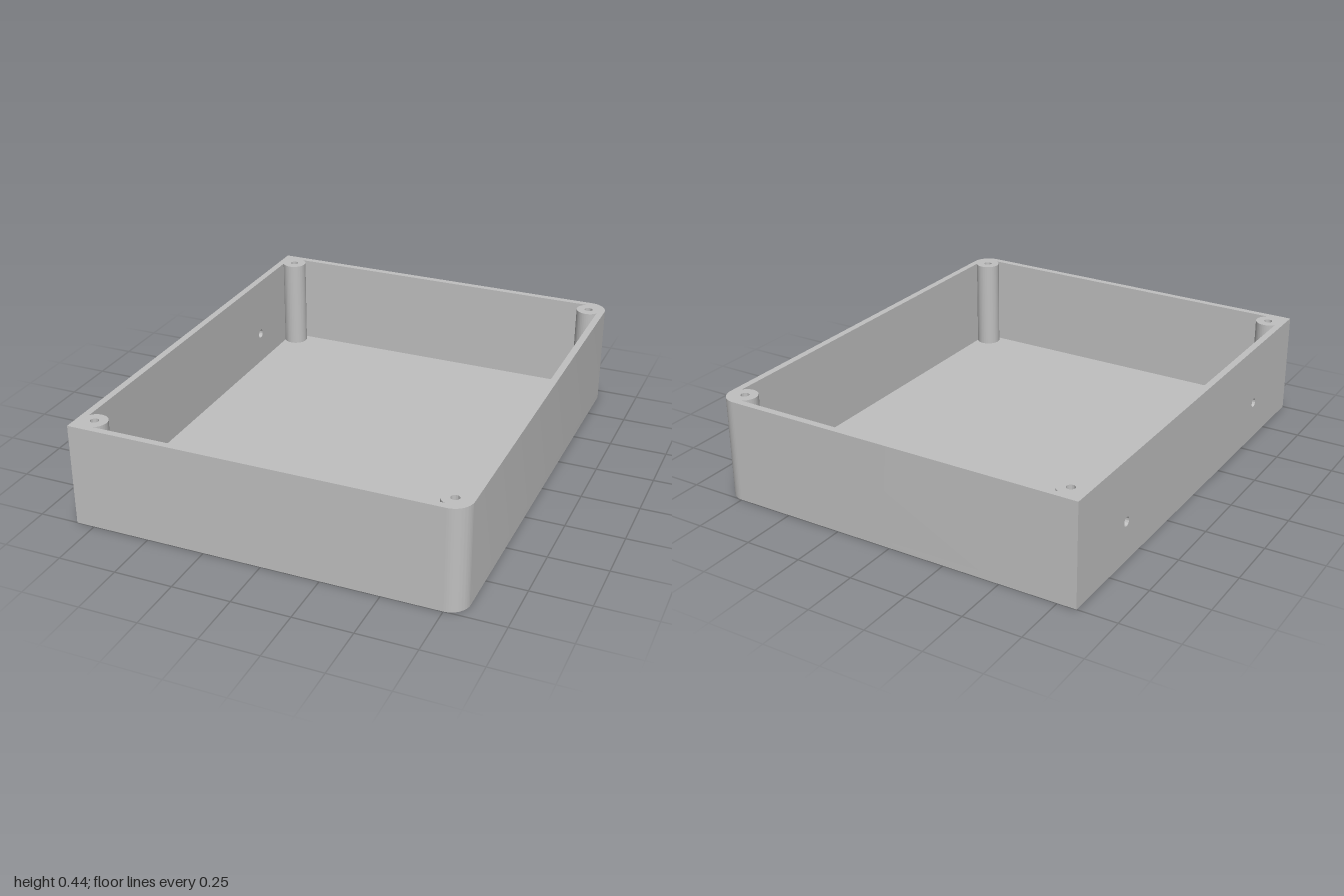
import * as THREE from 'three';
import { toCreasedNormals } from 'three/addons/utils/BufferGeometryUtils.js';

const W = 0.83, D = 1, H = 0.445;     // half width, half depth, height
const T = 0.03, R = 0.08;             // wall thickness, corner radius
const IX = W - T, IZ = D - T;         // inner wall faces
const PX = 0.755, PZ = 0.92;          // screw post centres
const PR = 0.055, HOLE = 0.018;       // post and screw hole radii

// Outline with square corners on the -x side and round ones on the +x side
function outline(left) {
  const s = new THREE.Shape();
  s.moveTo(left, -D);
  s.lineTo(W - R, -D);
  s.absarc(W - R, -D + R, R, -Math.PI / 2, 0, false);
  s.lineTo(W, D - R);
  s.absarc(W - R, D - R, R, 0, Math.PI / 2, false);
  s.lineTo(left, D);
  return s;
}

function circle(x, y, r) {
  return new THREE.Path().absarc(x, y, r, 0, Math.PI * 2, true);
}

function extrude(shape, depth) {
  return new THREE.ExtrudeGeometry(shape, { depth, bevelEnabled: false, curveSegments: 20 });
}

export function createModel() {
  const group = new THREE.Group();
  const grey = new THREE.MeshStandardMaterial({ color: 0xc0c0c0 });
  const add = (name, geometry) => {
    const mesh = new THREE.Mesh(toCreasedNormals(geometry, 0.5), grey);
    mesh.name = name;
    group.add(mesh);
  };

  // Floor plate
  add('floor', extrude(outline(-W), T).rotateX(-Math.PI / 2));

  // Three walls with the corner posts merged into the inner contour
  const walls = outline(-IX);
  const dx = IX - PX, dz = IZ - PZ;
  const a = Math.atan2(Math.sqrt(PR * PR - dx * dx), dx);  // where a post meets a side wall
  const b = Math.atan2(dz, Math.sqrt(PR * PR - dz * dz));  // where a post meets an end wall
  const P = Math.PI;
  const posts = [
    [-PX, PZ, -P + a, b],
    [PX, PZ, P - b, 2 * P - a],
    [PX, -PZ, a, P + b],
    [-PX, -PZ, -b, P - a],
  ];
  for (const [x, z, from, to] of posts) {
    walls.absarc(x, z, PR, from, to, false);
    walls.holes.push(circle(x, z, HOLE));
  }
  walls.closePath();
  add('wallsAndPosts', extrude(walls, H - T).rotateX(-Math.PI / 2).translate(0, T, 0));

  // Flat side wall with two cable holes
  const side = new THREE.Shape();
  side.moveTo(-D, T);
  side.lineTo(D, T);
  side.lineTo(D, H);
  side.lineTo(-D, H);
  side.closePath();
  for (const z of [-0.615, 0.615]) side.holes.push(circle(z, 0.175, 0.02));
  add('drilledSideWall', extrude(side, T).rotateY(-Math.PI / 2).translate(-IX, 0, 0));

  return group;
}
